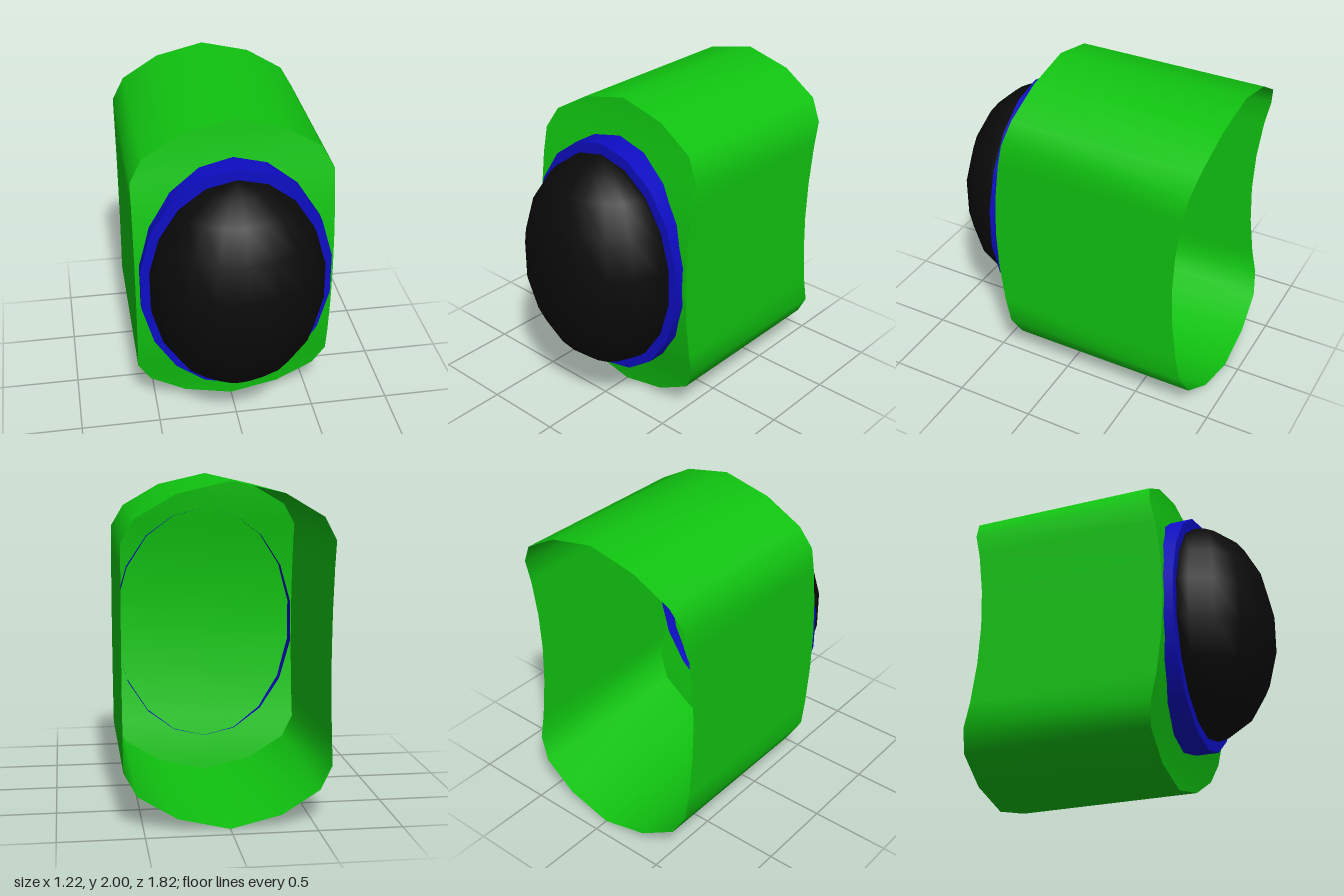
import * as THREE from 'three';
import { mergeVertices } from 'three/addons/utils/BufferGeometryUtils.js';

// Upper right quarter of the shell outline: x, y, z of the curved front edge
const quarter = [
  [0, 2, 0.292], [0.305, 1.93, 0.3], [0.535, 1.795, 0.319], [0.612, 1.66, 0.349],
  [0.612, 1.5, 0.383], [0.612, 1.25, 0.415], [0.612, 1, 0.426],
];
const SHELL_DEPTH = 1.2;
const SIDES = 18;
const RIM_Z = 0.482;

// Smooth grid surface; point(i, j) gives the position of column i, row j
function gridSurface(columns, rows, point) {
  const geometry = new THREE.PlaneGeometry(1, 1, columns, rows);
  const position = geometry.attributes.position;
  for (let j = 0; j <= rows; j++) {
    for (let i = 0; i <= columns; i++) position.setXYZ(j * (columns + 1) + i, ...point(i, j));
  }
  geometry.deleteAttribute('uv');
  geometry.deleteAttribute('normal');
  const merged = mergeVertices(geometry, 1e-4);
  merged.computeVertexNormals();
  return merged;
}

export function createModel() {
  const group = new THREE.Group();
  const material = (color) => new THREE.MeshStandardMaterial({ color, side: THREE.DoubleSide });
  const green = material(0x10c410);
  const blue = material(0x0d0dc4);
  const black = material(0x0a0a0a);
  const add = (name, geometry, mat) => {
    const mesh = new THREE.Mesh(geometry, mat);
    mesh.name = name;
    group.add(mesh);
    return mesh;
  };

  // Right half from top to bottom, then the full closed outline
  const lower = quarter.slice(0, -1).reverse().map(([x, y, z]) => [x, 2 - y, z]);
  const half = [...quarter, ...lower];
  const mirrored = half.slice(0, -1).reverse().map(([x, y, z]) => [-x, y, z]);
  const loop = [...half, ...mirrored];

  // Open-backed shell with concave back edge and bowed front edge
  add('shell', gridSurface(loop.length - 1, 1, (i, j) => {
    const [x, y, z] = loop[i];
    return [x, y, z - (1 - j) * SHELL_DEPTH];
  }), green);

  // Front plate bowed along its height
  add('frontPlate', gridSurface(2, half.length - 1, (i, j) => {
    const [x, y, z] = half[j];
    return [(i - 1) * x, y, z];
  }), green);

  // Oval collar: wall and front lip
  const collarBack = 0.32;
  const wall = new THREE.CylinderGeometry(1, 1, RIM_Z - collarBack, SIDES, 1, true);
  wall.rotateX(Math.PI / 2).scale(0.594, 0.77, 1).translate(0, 1, (RIM_Z + collarBack) / 2);
  add('collarWall', wall, blue);
  const lip = new THREE.RingGeometry(0.88, 1, SIDES, 1, Math.PI / 2);
  lip.scale(0.594, 0.77, 1).translate(0, 1, RIM_Z);
  add('collarLip', lip, blue);

  // Oval dome: a sphere with its back half flattened onto the rim
  const dome = new THREE.SphereGeometry(1, SIDES, SIDES / 2, Math.PI / 2);
  const p = dome.attributes.position;
  for (let i = 0; i < p.count; i++) p.setZ(i, Math.max(0, p.getZ(i)));
  dome.scale(0.545, 0.7, 0.439).translate(0, 1, RIM_Z - 0.001);
  add('dome', dome, black);

  return group;
}
